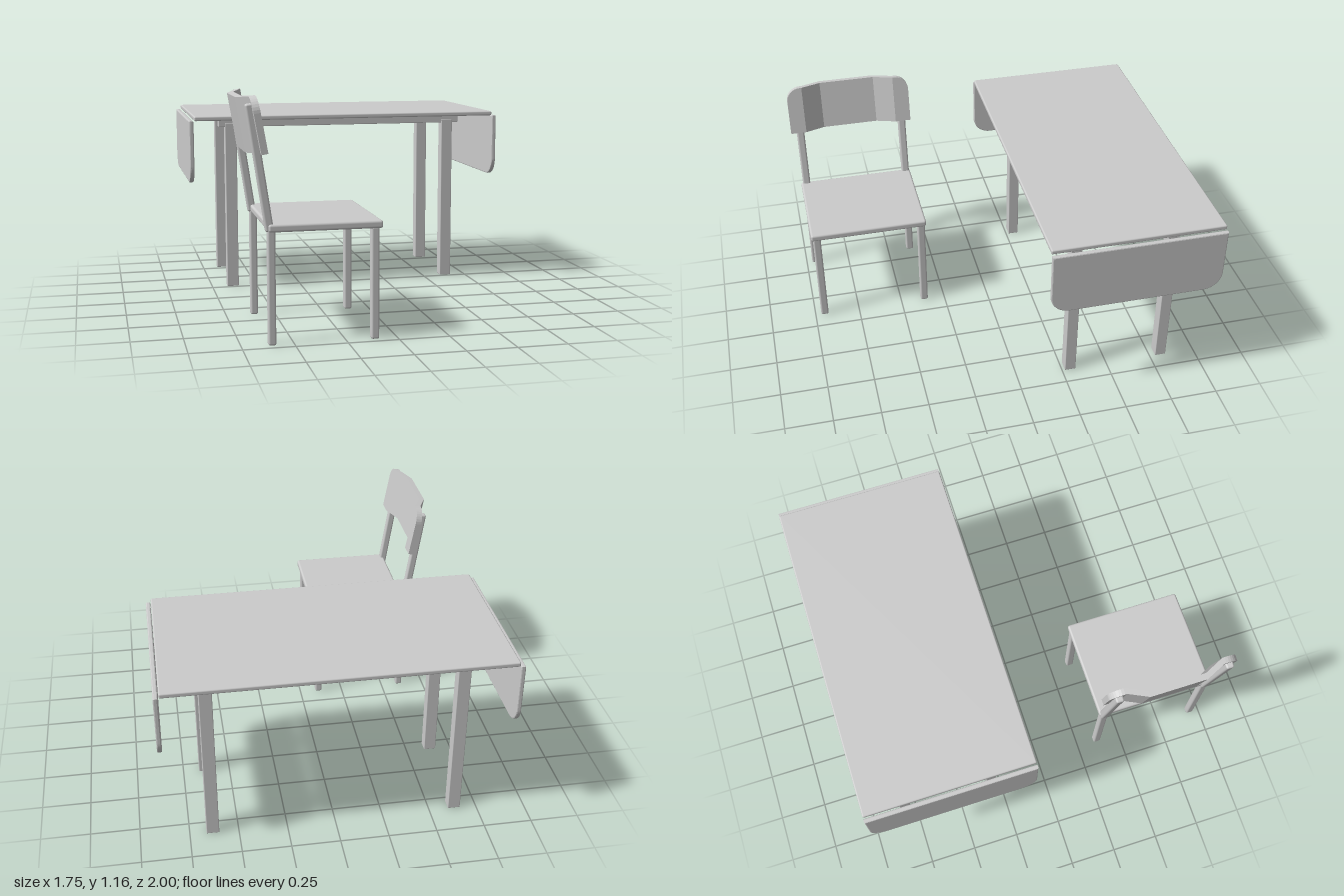
import * as THREE from 'three';
import { RoundedBoxGeometry } from 'three/addons/geometries/RoundedBoxGeometry.js';

const material = new THREE.MeshStandardMaterial({ color: 0xcccccc });

// Softly rounded board spanning the given ranges
function board(name, [x0, x1], [y0, y1], [z0, z1], radius = 0.004) {
  const mesh = new THREE.Mesh(
    new RoundedBoxGeometry(x1 - x0, y1 - y0, z1 - z0, 2, radius), material);
  mesh.position.set((x0 + x1) / 2, (y0 + y1) / 2, (z0 + z1) / 2);
  mesh.name = name;
  return mesh;
}

// Hanging table leaf with rounded lower corners
function leafGeometry(width, height, thickness, r) {
  const b = 0.006, w = width / 2 - b, h = height - b;
  const s = new THREE.Shape();
  s.moveTo(-w, -b);
  s.lineTo(-w, -h + r);
  s.absarc(-w + r, -h + r, r, Math.PI, Math.PI * 1.5);
  s.lineTo(w - r, -h);
  s.absarc(w - r, -h + r, r, -Math.PI / 2, 0);
  s.lineTo(w, -b);
  const geo = new THREE.ExtrudeGeometry(s, {
    depth: thickness - 2 * b, bevelSize: b, bevelThickness: b, bevelSegments: 2, curveSegments: 10,
  });
  return geo.translate(0, 0, -(thickness - 2 * b) / 2).rotateY(-Math.PI / 2);
}

function createTable() {
  const table = new THREE.Group();
  table.name = 'table';
  table.add(board('tableTop', [-0.85, 0.85], [0.96, 0.985], [-1, -0.105], 0.008));
  const leafGeo = leafGeometry(0.895, 0.345, 0.024, 0.09);
  for (const side of [-1, 1]) {
    const leaf = new THREE.Mesh(leafGeo, material);
    leaf.name = 'dropLeaf';
    leaf.position.set(side * 0.865, 0.96, -0.5525);
    table.add(leaf);
    const xs = side > 0 ? [0.6, 0.665] : [-0.665, -0.6];
    table.add(board('crossRail', xs, [0.912, 0.955], [-0.8, -0.3]));
    for (const z of [-0.295, -0.81]) {
      table.add(board('tableLeg', xs, [0, 0.93], [z - 0.03, z + 0.03]));
    }
  }
  for (const z of [-0.295, -0.81]) {
    table.add(board('longRail', [-0.7, 0.7], [0.91, 0.961], [z - 0.026, z + 0.026]));
  }
  return table;
}

// Bent backrest: rectangular sections swept along z, set back in the middle
function backrestGeometry() {
  const half = 0.34, height = 0.264, thick = 0.032, setback = 0.048, r = 0.075;
  const stations = [];
  for (let i = 0; i <= 8; i++) {
    const a = (i / 8) * Math.PI / 2;
    stations.push([-half + r * (1 - Math.cos(a)), height - r * (1 - Math.sin(a))]);
  }
  stations.push([-0.255, height], [-0.15, height]);
  const all = [...stations, ...stations.map(([z, v]) => [-z, v]).reverse()];
  const pos = [], idx = [];
  for (const [z, top] of all) {
    const u = -setback * THREE.MathUtils.clamp((0.255 - Math.abs(z)) / 0.105, 0, 1);
    pos.push(u, 0, z, u, top, z, u - thick, top, z, u - thick, 0, z);
  }
  for (let i = 0; i < all.length - 1; i++) {
    for (let k = 0; k < 4; k++) {
      const a = i * 4 + k, b = i * 4 + (k + 1) % 4;
      idx.push(a, b, a + 4, b, b + 4, a + 4);
    }
  }
  const e = (all.length - 1) * 4;
  idx.push(0, 2, 1, 0, 3, 2, e, e + 1, e + 2, e, e + 2, e + 3);
  const indexed = new THREE.BufferGeometry();
  indexed.setAttribute('position', new THREE.Float32BufferAttribute(pos, 3));
  indexed.setIndex(idx);
  const geo = indexed.toNonIndexed();
  geo.computeVertexNormals();
  return geo;
}

function createChair() {
  const chair = new THREE.Group();
  chair.name = 'chair';
  chair.add(board('seat', [-0.62, -0.075], [0.537, 0.575], [0.34, 0.978], 0.012));
  for (const z of [0.367, 0.947]) {
    const zs = [z - 0.021, z + 0.021];
    chair.add(board('frontLeg', [-0.13, -0.09], [0, 0.545], zs, 0.01));
    chair.add(board('backLeg', [-0.624, -0.586], [0, 0.56], zs, 0.01));
    // Leaning post from the seat up behind the backrest
    const low = new THREE.Vector2(-0.611, 0.54), high = new THREE.Vector2(-0.7, 1.13);
    const length = low.distanceTo(high);
    const post = new THREE.Mesh(new RoundedBoxGeometry(0.04, length, 0.042, 2, 0.01), material);
    post.name = 'backPost';
    post.position.set((low.x + high.x) / 2, (low.y + high.y) / 2, z);
    post.rotation.z = Math.atan2(low.x - high.x, high.y - low.y);
    chair.add(post);
  }
  const backrest = new THREE.Mesh(backrestGeometry(), material);
  backrest.name = 'backrest';
  backrest.position.set(-0.62, 0.905, 0.66);
  backrest.rotation.z = THREE.MathUtils.degToRad(10);
  chair.add(backrest);
  return chair;
}

export function createModel() {
  const model = new THREE.Group();
  model.name = 'diningSet';
  model.add(createTable(), createChair());
  return model;
}
